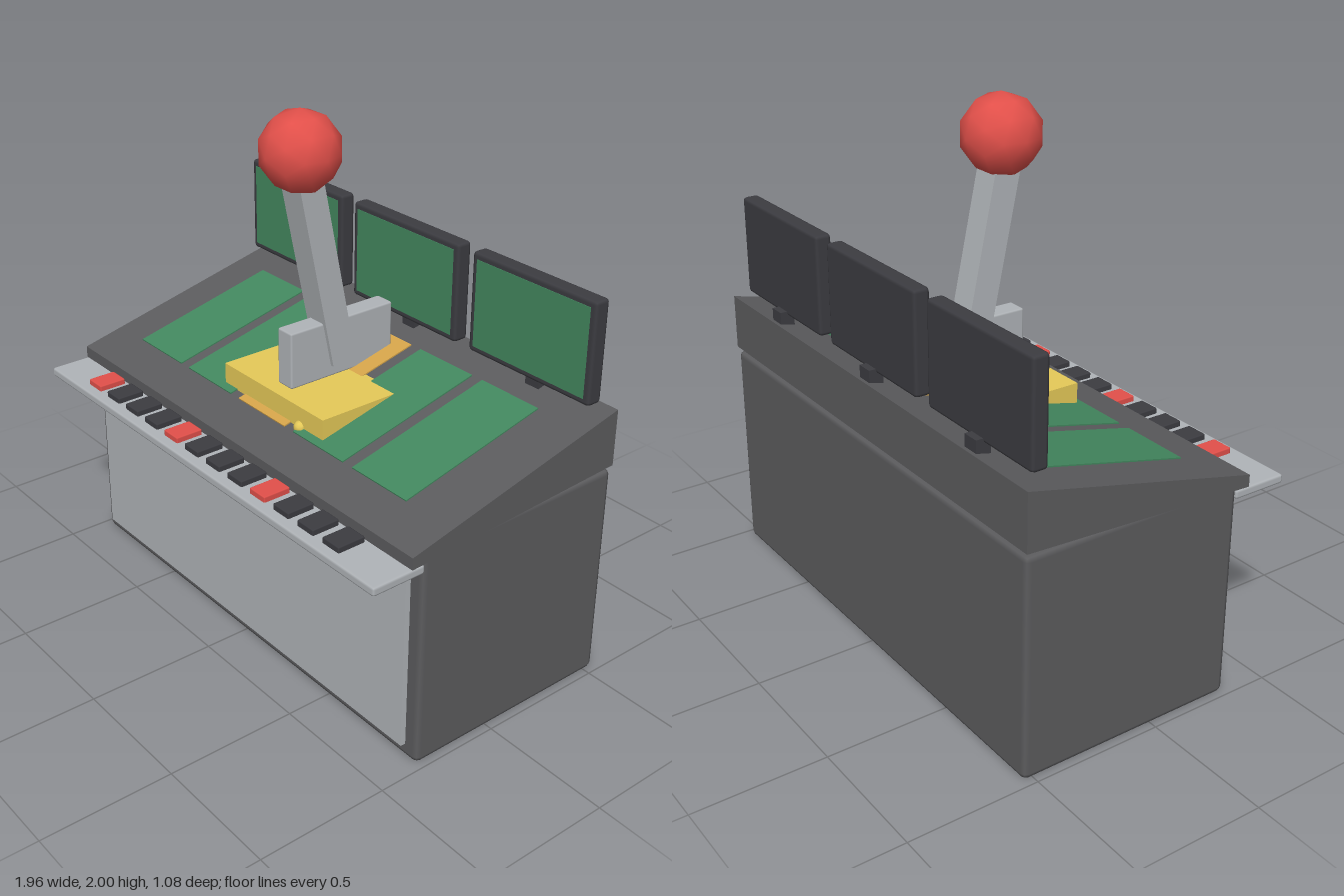
import * as THREE from 'three';
import { RoundedBoxGeometry } from 'three/addons/geometries/RoundedBoxGeometry.js';

const mat = (color) => new THREE.MeshStandardMaterial({ color });
const M = {
  body: mat(0x5c5c5e), dark: mat(0x3c3c41), steel: mat(0xb0b4b8), green: mat(0x43885f),
  yellow: mat(0xe6ca58), amber: mat(0xd6a54a), red: mat(0xe2504a),
};

export function createModel() {
  const model = new THREE.Group();
  model.name = 'controlConsole';

  const add = (name, geometry, material, parent = model) => {
    const mesh = new THREE.Mesh(geometry, material);
    mesh.name = name;
    parent.add(mesh);
    return mesh;
  };
  // Box given by its min and max corners, with optional softened edges
  const box = (name, [x0, y0, z0], [x1, y1, z1], material, bevel = 0, parent = model) => {
    const size = [x1 - x0, y1 - y0, z1 - z0];
    const geometry = bevel ? new RoundedBoxGeometry(...size, 1, bevel) : new THREE.BoxGeometry(...size);
    const mesh = add(name, geometry, material, parent);
    mesh.position.set((x0 + x1) / 2, (y0 + y1) / 2, (z0 + z1) / 2);
    return mesh;
  };

  // Cabinet with its front panel
  box('cabinet', [-0.977, 0, -0.54], [0.977, 0.84, 0.33], M.body, 0.022);
  box('frontPanel', [-0.92, 0.055, 0.3], [0.92, 0.78, 0.35], M.steel);

  // Sloping desk, a side profile (z, y) extruded across the width
  const profile = new THREE.Shape([
    [0.38, 0.805], [0.38, 0.85], [-0.54, 1.07], [-0.54, 0.855],
  ].map(([z, y]) => new THREE.Vector2(z, y)));
  const desk = new THREE.ExtrudeGeometry(profile, { depth: 1.96, bevelEnabled: false });
  desk.translate(0, 0, -0.98).rotateY(-Math.PI / 2);
  add('slopingDesk', desk, M.body);

  // Inlaid panels lying on the slope
  const slope = Math.atan2(0.22, 0.92);
  const deskY = (z) => 0.85 + (0.38 - z) * Math.tan(slope);
  for (let i = 0; i < 5; i++) {
    const panel = add('deskPanel', new THREE.BoxGeometry(0.275, 0.01, 0.6 / Math.cos(slope)),
      i === 2 ? M.amber : M.green);
    panel.position.set(-0.028 + (i - 2) * 0.326, deskY(-0.085), -0.085);
    panel.rotation.x = slope;
  }

  // Front shelf and its row of buttons
  box('shelf', [-0.98, 0.77, 0.325], [0.98, 0.805, 0.54], M.steel, 0.01);
  for (let i = 0; i < 12; i++) {
    const x = -0.72 + i * 0.131;
    box('button', [x - 0.042, 0.795, 0.39], [x + 0.042, 0.827, 0.5], i % 4 ? M.dark : M.red, 0.005);
  }

  // Lever base, slot housing, handle and ball
  box('leverBase', [-0.29, 0.885, -0.2], [0.29, 0.98, 0.185], M.yellow);
  const stud = add('baseStud', new THREE.IcosahedronGeometry(0.025, 1), M.yellow);
  stud.position.set(0.16, 0.9, 0.183);
  box('leverHousing', [-0.04, 0.98, -0.345], [0.04, 1.2, 0.128], M.steel, 0.008);
  const lever = new THREE.Group();
  lever.name = 'lever';
  lever.position.set(0, 1.035, -0.105);
  lever.rotation.x = THREE.MathUtils.degToRad(12);
  model.add(lever);
  box('leverShaft', [-0.055, 0, -0.052], [0.055, 0.8, 0.052], M.steel, 0, lever);
  add('leverBall', new THREE.IcosahedronGeometry(0.15, 1), M.red).position.set(0, 1.85, 0.053);

  // Three monitors on short feet along the back edge
  for (const x of [-0.65, 0, 0.65]) {
    const monitor = new THREE.Group();
    monitor.name = 'monitor';
    monitor.position.x = x;
    model.add(monitor);
    box('monitorCase', [-0.29, 1.095, -0.495], [0.29, 1.48, -0.431], M.dark, 0.014, monitor);
    box('monitorScreen', [-0.265, 1.12, -0.45], [0.265, 1.455, -0.429], M.green, 0, monitor);
    box('monitorFoot', [-0.032, 1.03, -0.522], [0.032, 1.112, -0.465], M.dark, 0, monitor);
  }
  return model;
}
